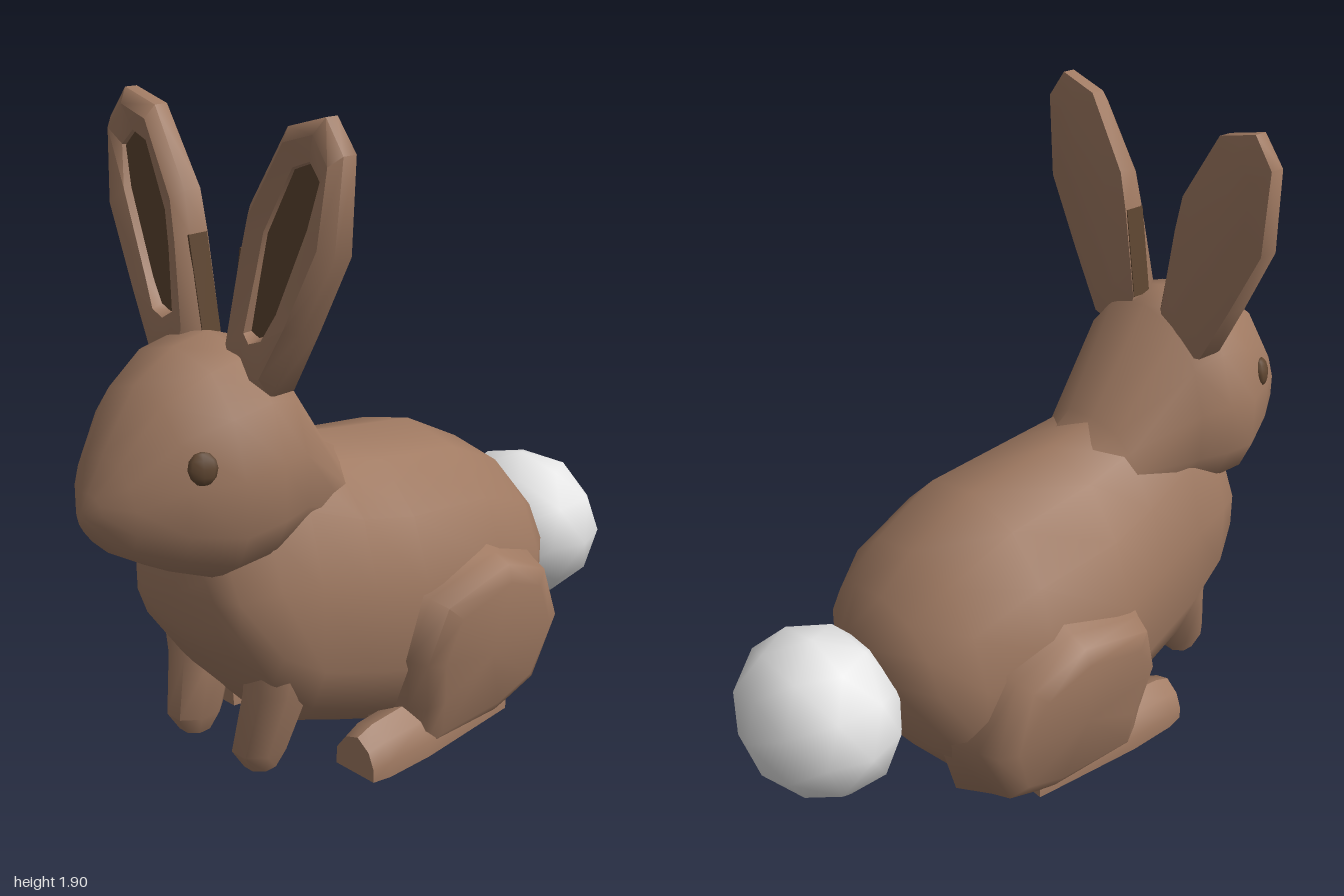
import * as THREE from 'three';
import { toCreasedNormals } from 'three/addons/utils/BufferGeometryUtils.js';

const fur = new THREE.MeshStandardMaterial({ color: 0xa07a62 });
fur.name = 'brown fur';
const dark = new THREE.MeshStandardMaterial({ color: 0x5e4530, side: THREE.DoubleSide });
dark.name = 'dark brown';
const white = new THREE.MeshStandardMaterial({ color: 0xe6e6e6 });
white.name = 'white fluff';

// Closed skin through rings of equal point count, turned outward by its signed volume
function loft(rings, crease = 0.75) {
  const n = rings[0].length;
  const pts = rings.flat();
  const faces = [];
  for (let r = 0; r < rings.length - 1; r++) {
    for (let i = 0; i < n; i++) {
      const a = r * n + i, b = r * n + (i + 1) % n;
      faces.push([a, b, b + n], [a, b + n, a + n]);
    }
  }
  [0, rings.length - 1].forEach((r, end) => {
    const c = pts.length;
    pts.push([0, 1, 2].map(k => rings[r].reduce((s, p) => s + p[k], 0) / n));
    for (let i = 0; i < n; i++) {
      const a = r * n + i, b = r * n + (i + 1) % n;
      faces.push(end ? [a, b, c] : [b, a, c]);
    }
  });
  const v = pts.map(p => new THREE.Vector3(...p));
  const cross = new THREE.Vector3();
  let volume = 0;
  for (const [a, b, c] of faces) volume += v[a].dot(cross.crossVectors(v[b], v[c]));
  if (volume < 0) faces.forEach(f => f.reverse());
  const geo = new THREE.BufferGeometry();
  geo.setAttribute('position', new THREE.Float32BufferAttribute(pts.flat(), 3));
  geo.setIndex(faces.flat());
  return toCreasedNormals(geo, crease);
}

// Upright cross-section at depth z: bottom, top, half width, height of widest point.
// Smaller powers make the sides and the underside squarer.
function slice([z, bottom, top, w, mid], sidePower, underPower) {
  return Array.from({ length: 14 }, (_, i) => {
    const a = i / 14 * Math.PI * 2 + Math.PI / 2, c = Math.cos(a), s = Math.sin(a);
    const y = s > 0 ? mid + s * (top - mid) : mid - Math.abs(s) ** underPower * (mid - bottom);
    return [w * Math.sign(c) * Math.abs(c) ** sidePower, y, z];
  });
}

// Level cross-section for limbs: height, back z, front z, inner x, outer x
function level([y, z0, z1, x0, x1], side) {
  return Array.from({ length: 8 }, (_, i) => {
    const a = (i + 0.5) / 8 * Math.PI * 2;
    return [side * ((x0 + x1) / 2 + Math.cos(a) * (x1 - x0) * 0.54), y,
      (z0 + z1) / 2 + Math.sin(a) * (z1 - z0) * 0.54];
  });
}

const earOuter = [[.06, 1.28], [.105, 1.55], [.13, 1.66], [.26, 1.87], [.39, 1.905],
  [.455, 1.82], [.44, 1.57], [.33, 1.36], [.23, 1.18], [.1, 1.15]];
const earInner = [[.15, 1.34], [.18, 1.5], [.2, 1.6], [.29, 1.77], [.345, 1.79],
  [.385, 1.75], [.36, 1.64], [.26, 1.41], [.22, 1.34], [.18, 1.325]];
const haunch = [[.17, .32], [.11, .5], [-.15, .56], [-.34, .48], [-.45, .27],
  [-.38, .06], [-.2, 0], [.13, 0], [.14, .15]];

export function createModel() {
  const model = new THREE.Group();
  model.name = 'rabbit';
  const add = (name, geo, mat, parent = model) => {
    const mesh = new THREE.Mesh(geo, mat);
    mesh.name = name;
    parent.add(mesh);
    return mesh;
  };

  add('body', loft([
    [-.61, .32, .55, .14, .43], [-.53, .18, .65, .28, .4], [-.42, .05, .76, .36, .38],
    [-.2, 0, .875, .4, .42], [.1, 0, .92, .385, .42], [.27, .06, .955, .345, .45],
    [.45, .13, 1.04, .315, .5], [.58, .28, .98, .29, .55], [.68, .42, .8, .23, .58],
    [.715, .5, .72, .16, .6],
  ].map(s => slice(s, 0.9, 0.7)), 1), fur);

  // Head with a neck that sinks into the shoulders
  add('head', loft([
    [.1, .65, .88, .12, .78], [.27, .68, .96, .21, .82], [.47, .68, 1.28, .275, .93],
    [.57, .67, 1.315, .3, .93], [.69, .665, 1.295, .285, .91], [.82, .72, 1.22, .215, .92],
    [.93, .79, 1.06, .135, .91], [.98, .85, .97, .06, .91], [1, .89, .92, .015, .905],
  ].map(s => slice(s, 0.8, 0.85)), 1), fur);

  const tail = add('tail', toCreasedNormals(new THREE.IcosahedronGeometry(1, 1), 0.8), white);
  tail.scale.set(.28, .25, .235);
  tail.position.set(0, .36, -.765);

  for (const side of [1, -1]) {
    const label = side > 0 ? 'left' : 'right';

    // Ear: back, edge, rim, then a recess lined with a dark plate; it thins upward
    const ear = new THREE.Group();
    ear.name = label + 'Ear';
    model.add(ear);
    const earRing = (mix, z, lean) => earOuter.map(([x, y], i) => [
      side * THREE.MathUtils.lerp(x, earInner[i][0], mix),
      THREE.MathUtils.lerp(y, earInner[i][1], mix), z - (y - 1.3) * lean]);
    add('earShell', loft([earRing(.7, .46, .01), earRing(0, .48, .01), earRing(0, .555, .07),
      earRing(.35, .59, .08), earRing(.95, .575, .08), earRing(1.02, .54, .06)], .9), fur, ear);
    const lining = new THREE.ShapeGeometry(new THREE.Shape(
      earInner.map(([x, y]) => new THREE.Vector2(side * x, y))));
    const p = lining.attributes.position;
    for (let i = 0; i < p.count; i++) p.setZ(i, .555 - (p.getY(i) - 1.3) * 0.07);
    lining.computeVertexNormals();
    add('earLining', lining, dark, ear);
    const strip = add('earInnerEdge', new THREE.BoxGeometry(.006, .27, .062), dark, ear);
    strip.position.set(side * .0825, 1.415, .513);
    strip.rotation.z = -side * .165;

    // Eye, set flush into the side of the head
    const eye = add(label + 'Eye', new THREE.SphereGeometry(1, 8, 6), dark);
    eye.scale.set(.02, .045, .042);
    eye.position.set(side * .214, 1.04, .78);
    eye.rotation.set(0, -side * .5, side * .2);

    add(label + 'FrontLeg', loft([
      [.06, .51, .6, .1, .19], [.12, .47, .635, .075, .215], [.3, .4, .6, .08, .25],
      [.5, .36, .6, .1, .28], [.72, .42, .56, .12, .2],
    ].map(l => level(l, side)), 1), fur);

    // Haunch leans outward as it rises and spreads into the flank
    const thigh = (x, scale) => haunch.map(([z, y]) => {
      const yy = Math.max(0, .27 + (y - .27) * scale);
      return [side * (x + yy * .15), yy, -.12 + (z + .12) * scale];
    });
    add(label + 'Haunch', loft([thigh(.2, 1.2), thigh(.315, 1.03), thigh(.375, .96),
      thigh(.4, .78)], 1.1), fur);

    // Hind foot, rounded on top and blunt at the toes
    const foot = [[.21, 0], [.215, .07], [.26, .13], [.32, .15], [.375, .11], [.4, .05], [.4, 0]];
    add(label + 'HindFoot', loft([[-.25, .8], [.12, 1], [.28, .94], [.335, .8]].map(([z, s]) =>
      foot.map(([x, y]) => [side * (.3 + (x - .3) * s), y * s, z]))), fur);
  }
  return model;
}
